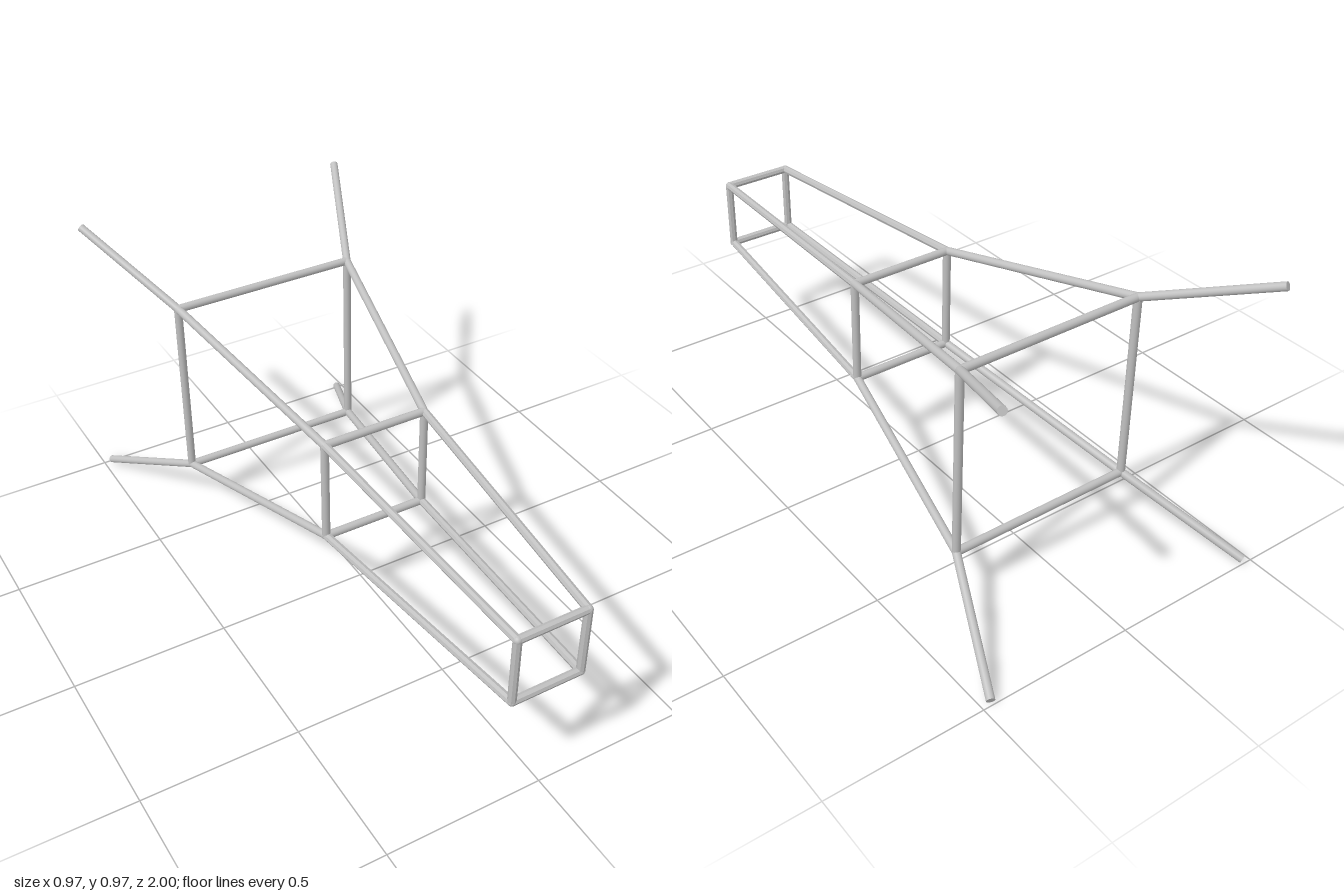
import * as THREE from 'three';

const CENTRE_Y = 0.486;
const RADIUS = 0.013;

export function createModel() {
  const model = new THREE.Group();
  model.name = 'tubeFrame';
  const steel = new THREE.MeshStandardMaterial({ color: 0xc0c0c0 });
  steel.name = 'light grey steel';

  // Straight tube between two points, either faceted or smooth
  function tube(name, a, b, faceted) {
    const dir = b.clone().sub(a);
    let geometry = new THREE.CylinderGeometry(RADIUS, RADIUS, dir.length(), faceted ? 8 : 16);
    if (faceted) {
      geometry = geometry.toNonIndexed();
      geometry.computeVertexNormals();
    }
    const mesh = new THREE.Mesh(geometry, steel);
    mesh.name = name;
    mesh.position.copy(a).add(b).multiplyScalar(0.5);
    mesh.quaternion.setFromUnitVectors(new THREE.Vector3(0, 1, 0), dir.normalize());
    model.add(mesh);
  }

  // Square stations from front to back: z and half width
  const stations = [[0.987, 0.113], [0.09, 0.173], [-0.62, 0.31], [-0.993, 0.472]]
    .map(([z, h]) => [[1, 1], [-1, 1], [-1, -1], [1, -1]]
      .map(([sx, sy]) => new THREE.Vector3(sx * h, CENTRE_Y + sy * h, z)));

  // Square rings, with rounded joints; the rear station has free ends
  ['frontRing', 'middleRing', 'rearRing'].forEach((name, s) => {
    stations[s].forEach((corner, i) => {
      tube(name, corner, stations[s][(i + 1) % 4], s === 0);
      const joint = new THREE.Mesh(new THREE.SphereGeometry(RADIUS, 16, 10), steel);
      joint.name = name + 'Joint';
      joint.position.copy(corner);
      model.add(joint);
    });
  });

  // Long rails joining the rings, then the splayed rear prongs
  ['noseRail', 'bodyRail', 'rearProng'].forEach((name, s) => {
    stations[s].forEach((corner, i) => tube(name, corner, stations[s + 1][i], s === 0));
  });

  return model;
}
